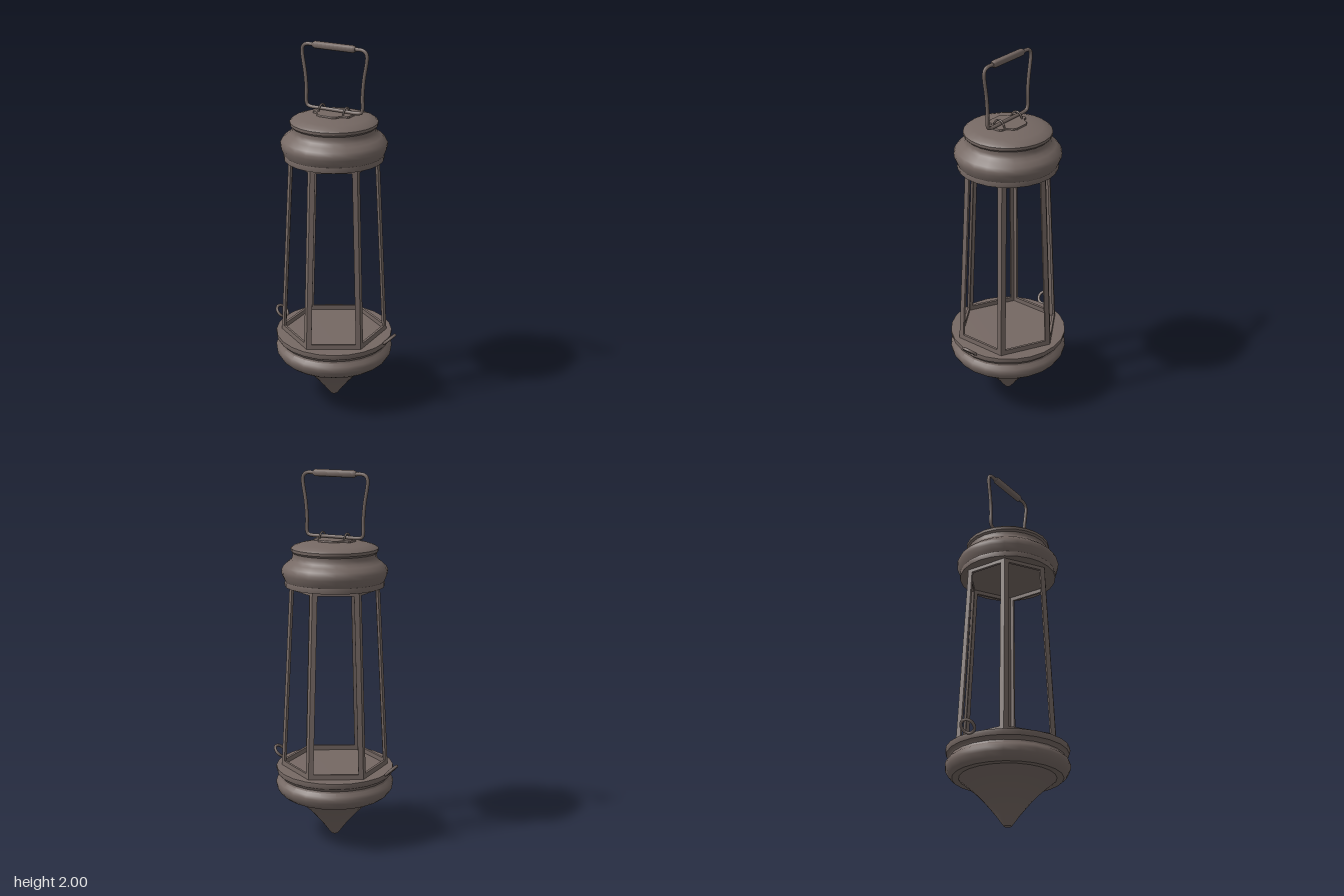
import * as THREE from 'three';
import { toCreasedNormals } from 'three/addons/utils/BufferGeometryUtils.js';

export function createModel() {
  const lantern = new THREE.Group();
  lantern.name = 'lantern';
  const metal = new THREE.MeshStandardMaterial({ color: 0x756863 });
  metal.name = 'agedMetal';

  const add = (name, geometry, parent = lantern) => {
    const mesh = new THREE.Mesh(geometry, metal);
    mesh.name = name;
    parent.add(mesh);
    return mesh;
  };
  const turned = (name, profile) => {
    const points = profile.map(([r, y]) => new THREE.Vector2(r, y));
    return add(name, toCreasedNormals(new THREE.LatheGeometry(points, 24), 0.6));
  };
  const wire = (name, path, radius, closed, segments = 64) => {
    const curve = new THREE.CatmullRomCurve3(path.map((p) => new THREE.Vector3(...p)), closed);
    return add(name, new THREE.TubeGeometry(curve, segments, radius, 8, closed));
  };

  // Pointed finial under the base
  turned('finial', [[0, 0], [0.02, 0.004], [0.036, 0.025], [0.06, 0.058], [0.09, 0.095],
    [0.125, 0.136], [0.165, 0.177], [0.205, 0.213], [0.25, 0.25]]);

  // Base tray with rounded belly and lip
  turned('base', [[0, 0.25], [0.285, 0.25], [0.303, 0.265], [0.319, 0.292], [0.322, 0.312],
    [0.316, 0.33], [0.3, 0.344], [0.297, 0.355], [0.303, 0.366], [0.315, 0.374],
    [0.32, 0.39], [0.319, 0.404], [0.3, 0.405], [0, 0.405]]);

  // Cap with flared rim, neck and shallow dome
  turned('cap', [[0, 1.397], [0.262, 1.397], [0.264, 1.412], [0.262, 1.425], [0.268, 1.437],
    [0.279, 1.465], [0.28, 1.485], [0.27, 1.504], [0.248, 1.524], [0.228, 1.538],
    [0.22, 1.555], [0.22, 1.572], [0.229, 1.582], [0.23, 1.597], [0.217, 1.608],
    [0.18, 1.62], [0.12, 1.632], [0.06, 1.637], [0, 1.638]]);

  // Six tapering window frames; their stiles meet as angled corner posts
  const low = 0.29, high = 0.238, bottom = 0.405, top = 1.4, thick = 0.013;
  const inset = Math.cos(Math.PI / 6);
  const rise = top - bottom, lean = (low - high) * inset;
  const slant = Math.hypot(rise, lean);
  const halfAt = (y) => (low + (high - low) * y / slant) / 2;
  const outline = new THREE.Shape([
    new THREE.Vector2(-halfAt(0), 0), new THREE.Vector2(halfAt(0), 0),
    new THREE.Vector2(halfAt(slant), slant), new THREE.Vector2(-halfAt(slant), slant)]);
  const stile = 0.026, y0 = 0.027, y1 = slant - 0.023;
  outline.holes.push(new THREE.Path([
    new THREE.Vector2(-halfAt(y0) + stile, y0), new THREE.Vector2(-halfAt(y1) + stile, y1),
    new THREE.Vector2(halfAt(y1) - stile, y1), new THREE.Vector2(halfAt(y0) - stile, y0)]));
  const frame = new THREE.ExtrudeGeometry(outline, { depth: thick, bevelEnabled: false });
  frame.translate(0, 0, -thick);
  frame.rotateX(-Math.atan2(lean, rise));
  frame.translate(0, bottom, low * inset);
  const cage = new THREE.Group();
  cage.name = 'windowCage';
  lantern.add(cage);
  for (let i = 0; i < 6; i++) {
    add('windowFrame', frame, cage).rotation.y = Math.PI / 6 + i * Math.PI / 3;
  }

  // Tilted rings on both sides of the base
  for (const side of [-1, 1]) {
    const ring = add('sideRing', new THREE.TorusGeometry(0.037, 0.008, 8, 24));
    ring.rotation.order = 'ZYX';
    ring.rotation.set(0, Math.PI / 2, -side * Math.PI / 4);
    ring.position.set(side * 0.345, 0.427, -0.004);
  }

  // Ornamental mounting plate on the dome
  const corner = [[0.106, 0.03], [0.1, 0.037], [0.08, 0.041], [0.066, 0.054],
    [0.056, 0.076], [0.036, 0.087]];
  const flip = (sx, sy) => corner.map(([x, y]) => new THREE.Vector2(x * sx, y * sy));
  const plateShape = new THREE.Shape([
    ...flip(1, 1), ...flip(-1, 1).reverse(), ...flip(-1, -1), ...flip(1, -1).reverse()]);
  const plate = new THREE.ExtrudeGeometry(plateShape, {
    depth: 0.012, bevelThickness: 0.004, bevelSize: 0.004, bevelOffset: -0.002, bevelSegments: 2 });
  plate.rotateX(-Math.PI / 2);
  plate.translate(0, 1.628, 0);
  add('mountingPlate', plate);

  // Staples holding the handle
  for (const x of [-0.073, 0.073]) {
    wire('handleStaple', [[x, 1.635, -0.034], [x, 1.655, -0.03], [x, 1.672, -0.014],
      [x, 1.676, 0], [x, 1.672, 0.014], [x, 1.655, 0.03], [x, 1.635, 0.034]], 0.005, false, 24);
  }

  // Wire carrying handle and its grip
  const half = [[0.06, 1.655], [0.14, 1.655], [0.16, 1.661], [0.167, 1.68], [0.166, 1.74],
    [0.173, 1.83], [0.188, 1.92], [0.19, 1.95], [0.183, 1.97], [0.165, 1.98], [0.11, 1.981]];
  const loop = [...half.map(([x, y]) => [x, y, 0]),
    ...half.map(([x, y]) => [-x, y, 0]).reverse()];
  wire('handleWire', loop, 0.0095, true, 120);
  const grip = turned('handleGrip', [[0, -0.125], [0.012, -0.125], [0.019, -0.112],
    [0.019, 0.112], [0.012, 0.125], [0, 0.125]]);
  grip.rotation.z = Math.PI / 2;
  grip.position.y = 1.981;

  return lantern;
}
